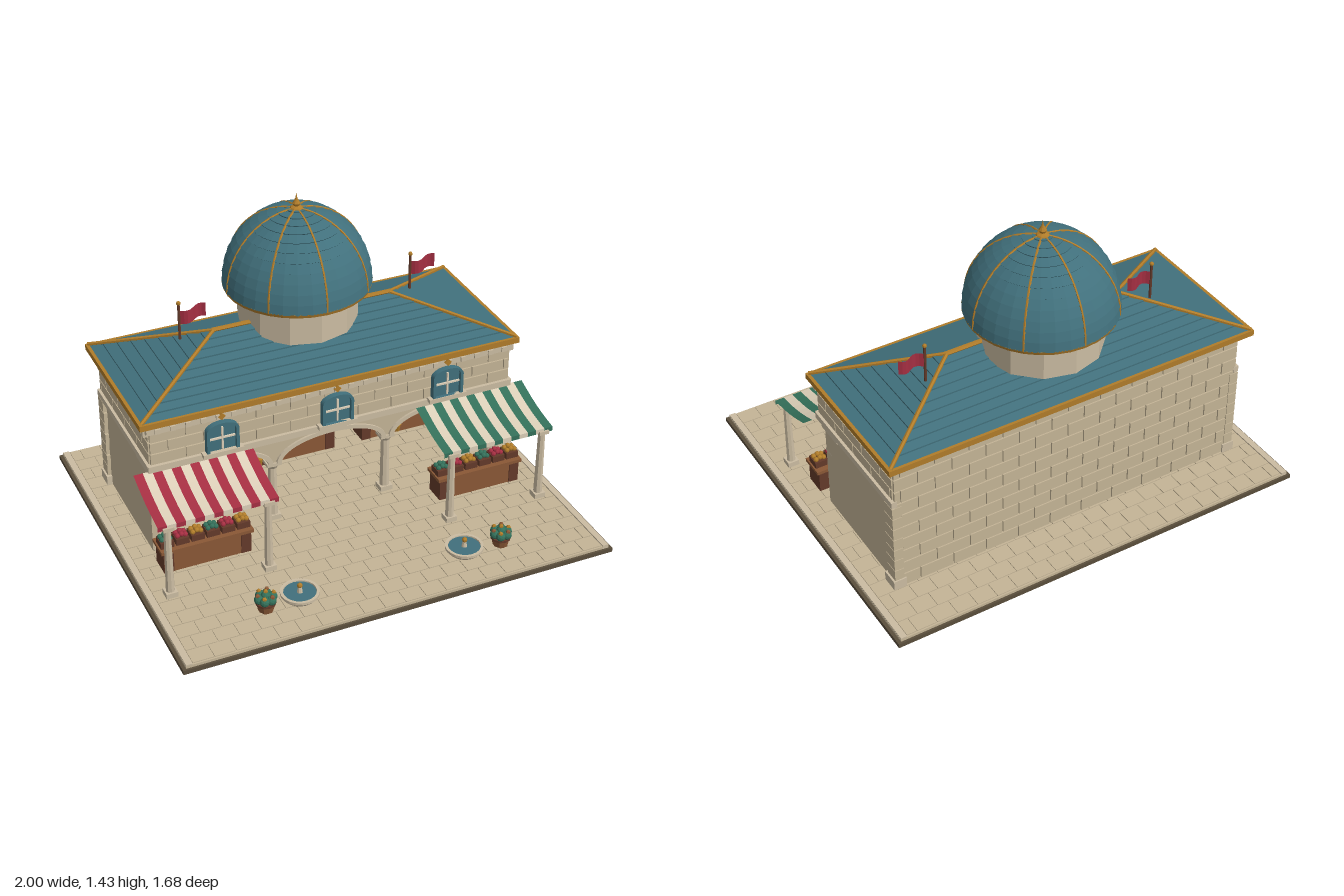
import * as THREE from 'three';
import { mergeGeometries } from 'three/addons/utils/BufferGeometryUtils.js';

const mat = (name, color) => Object.assign(new THREE.MeshStandardMaterial({ color, flatShading: true }), { name });

export function createModel() {
  const stone = mat('sandstone', 0xc4b496), trim = mat('pale stone', 0xcbbca2), earth = mat('dark footing', 0x5a4e3c);
  const teal = mat('teal tile', 0x41707c), gold = mat('gilding', 0xb07c2a), red = mat('red cloth', 0xa52f42);
  const cream = mat('cream cloth', 0xdccfb8), green = mat('green', 0x34705a), wood = mat('wood', 0x8a5836), dark = mat('dark wood', 0x643a2a);
  red.side = cream.side = green.side = THREE.DoubleSide;

  const model = new THREE.Group();
  const group = (name, parent = model, x = 0, y = 0, z = 0) => {
    const g = new THREE.Group();
    g.name = name;
    g.position.set(x, y, z);
    parent.add(g);
    return g;
  };
  const add = (parent, name, geo, m, x = 0, y = 0, z = 0) => {
    const mesh = new THREE.Mesh(geo, m);
    mesh.name = name;
    mesh.position.set(x, y, z);
    parent.add(mesh);
    return mesh;
  };
  // Box given by its x, y and z ranges
  const box = (parent, name, m, x0, x1, y0, y1, z0, z1) =>
    add(parent, name, new THREE.BoxGeometry(x1 - x0, y1 - y0, z1 - z0), m, (x0 + x1) / 2, (y0 + y1) / 2, (z0 + z1) / 2);
  const cyl = (parent, name, m, rt, rb, y0, y1, x, z, n = 8) =>
    add(parent, name, new THREE.CylinderGeometry(rt, rb, y1 - y0, n), m, x, (y0 + y1) / 2, z);
  const bar = (parent, name, m, a, b, r) =>
    add(parent, name, new THREE.TubeGeometry(new THREE.LineCurve3(new THREE.Vector3(...a), new THREE.Vector3(...b)), 1, r, 6), m);
  // Running-bond blocks in the xy plane, centred on x, rising from y = 0
  const blocks = (w, h, rows, len, depth, gap = 0.006) => {
    const out = [], rh = h / rows;
    for (let r = 0; r < rows; r++) {
      for (let x = -w / 2 - (r % 2 ? len / 2 : 0); x < w / 2 - 0.01; x += len) {
        const a = Math.max(x, -w / 2), b = Math.min(x + len, w / 2);
        if (b - a < 0.02) continue;
        out.push(new THREE.BoxGeometry(b - a - gap, rh - gap, depth).translate((a + b) / 2, (r + 0.5) * rh, 0));
      }
    }
    return mergeGeometries(out);
  };

  // Plaza
  const plaza = group('plaza');
  box(plaza, 'footing', earth, -1, 1, 0, 0.02, -0.84, 0.84);
  box(plaza, 'pavement', stone, -0.985, 0.985, 0.02, 0.032, -0.83, 0.83);
  add(plaza, 'pavingSlabs', blocks(1.91, 1.65, 20, 0.0955, 0.006, 0.005).rotateX(-Math.PI / 2), stone, 0, 0.033, 0.825);
  for (const s of [-1, 1]) box(plaza, 'kerb', trim, s * 0.97 - 0.014, s * 0.97 + 0.014, 0.02, 0.038, -0.83, 0.83);

  // Walls
  const hall = group('hall');
  box(hall, 'backWall', stone, -0.85, 0.85, 0.035, 0.5, -0.56, -0.53);
  box(hall, 'upperFloor', stone, -0.85, 0.85, 0.485, 0.71, -0.56, 0.1);
  add(hall, 'backBlocks', blocks(1.71, 0.655, 10, 0.16, 0.012), stone, 0, 0.035, -0.562);
  add(hall, 'frontBlocks', blocks(1.71, 0.165, 3, 0.16, 0.012), stone, 0, 0.515, 0.102);
  box(hall, 'frontStringCourse', trim, -0.865, 0.865, 0.482, 0.512, 0.08, 0.115);
  box(hall, 'frontCornice', trim, -0.865, 0.865, 0.672, 0.702, 0.08, 0.117);
  box(hall, 'backCornice', trim, -0.865, 0.865, 0.672, 0.702, -0.578, -0.55);
  for (const s of [-1, 1]) {
    box(hall, 'sideWall', stone, s * 0.835 - 0.015, s * 0.835 + 0.015, 0.035, 0.49, -0.55, 0.06);
    const side = add(hall, 'sideBlocks', blocks(0.66, 0.165, 3, 0.16, 0.012), stone, s * 0.852, 0.515, -0.23);
    side.rotation.y = Math.PI / 2;
    box(hall, 'sideStringCourse', trim, s * 0.855 - 0.013, s * 0.855 + 0.013, 0.482, 0.512, -0.57, 0.11);
    box(hall, 'sideCornice', trim, s * 0.855 - 0.013, s * 0.855 + 0.013, 0.672, 0.702, -0.575, 0.115);
    box(hall, 'impostBand', trim, s * 0.852 - 0.008, s * 0.852 + 0.008, 0.455, 0.482, -0.07, 0.07);
    box(hall, 'cornerBase', trim, s * 0.845 - 0.03, s * 0.845 + 0.03, 0.035, 0.08, -0.575, -0.495);
    for (let i = 0; i < 7; i++) {
      const e = i % 2 ? 0.006 : 0;
      box(hall, 'cornerBlock', stone, s * 0.845 - 0.022, s * 0.845 + 0.022, 0.082 + i * 0.057, 0.135 + i * 0.057, -0.571, -0.505 + e);
    }
    for (const z of [0.085, -0.08, -0.22, -0.36, -0.5]) box(hall, 'bracket', trim, s * 0.865 - 0.012, s * 0.865 + 0.012, 0.655, 0.69, z - 0.012, z + 0.012);
  }
  for (let x = -0.82; x < 0.83; x += 0.0682) box(hall, 'dentil', trim, x - 0.012, x + 0.012, 0.675, 0.698, 0.11, 0.125);

  // Arcade: spandrels, arch mouldings and columns
  const arcade = group('arcade');
  const centres = [-0.545, 0, 0.545];
  const spandrel = new THREE.Shape().moveTo(-0.85, 0.49).lineTo(-0.85, 0.335);
  for (const c of centres) {
    spandrel.lineTo(c - 0.245, 0.335);
    spandrel.absellipse(c, 0.335, 0.245, 0.1, Math.PI, 0, true);
  }
  spandrel.lineTo(0.85, 0.335).lineTo(0.85, 0.49);
  add(arcade, 'archWall', new THREE.ExtrudeGeometry(spandrel, { depth: 0.05, bevelEnabled: false }), stone, 0, 0, 0.01);
  for (const c of centres) {
    const ring = new THREE.Shape().absellipse(0, 0, 0.265, 0.118, 0, Math.PI, false);
    ring.lineTo(-0.243, 0).absellipse(0, 0, 0.243, 0.098, Math.PI, 0, true);
    add(arcade, 'archMoulding', new THREE.ExtrudeGeometry(ring, { depth: 0.065, bevelEnabled: false }), trim, c, 0.335, 0.005);
  }
  for (const x of [-0.815, -0.275, 0.275, 0.815]) {
    box(arcade, 'columnBase', trim, x - 0.03, x + 0.03, 0.035, 0.06, 0.01, 0.065);
    cyl(arcade, 'column', trim, 0.02, 0.023, 0.06, 0.31, x, 0.038);
    cyl(arcade, 'capital', trim, 0.032, 0.02, 0.305, 0.325, x, 0.038);
    box(arcade, 'abacus', trim, x - 0.035, x + 0.035, 0.325, 0.34, 0.008, 0.067);
  }
  for (const x of [-0.335, 0.335]) {
    cyl(arcade, 'lanternChain', gold, 0.003, 0.003, 0.37, 0.42, x, 0.035, 5);
    cyl(arcade, 'lantern', gold, 0.017, 0.011, 0.33, 0.365, x, 0.035, 6);
    cyl(arcade, 'lanternCap', gold, 0.004, 0.02, 0.365, 0.378, x, 0.035, 6);
  }

  // Arched upper windows
  for (const x of [-0.535, 0, 0.535]) {
    const w = group('window', model, x, 0.522, 0.108);
    const pane = (r, h) => new THREE.Shape().moveTo(-r, 0).lineTo(r, 0).lineTo(r, h).absellipse(0, h, r, 0.04, 0, Math.PI, false);
    const frame = pane(0.074, 0.1);
    frame.holes.push(pane(0.06, 0.097));
    add(w, 'frame', new THREE.ExtrudeGeometry(frame, { depth: 0.028, bevelEnabled: false }), teal);
    add(w, 'glass', new THREE.ExtrudeGeometry(pane(0.062, 0.098), { depth: 0.012, bevelEnabled: false }), teal);
    box(w, 'mullion', cream, -0.004, 0.004, 0.005, 0.115, 0.012, 0.02);
    box(w, 'transom', cream, -0.058, 0.058, 0.058, 0.066, 0.012, 0.02);
    box(w, 'sill', trim, -0.092, 0.092, -0.018, 0, -0.005, 0.032);
    add(w, 'diamond', new THREE.BoxGeometry(0.024, 0.024, 0.01), gold, 0, 0.167, 0.014).rotation.z = Math.PI / 4;
  }

  // Hipped roof with stepped tile courses
  const roof = group('roof', model, 0, 0, -0.25);
  box(roof, 'eaves', gold, -0.895, 0.895, 0.7, 0.727, -0.368, 0.368);
  const corner = (t, y) => {
    const hx = 0.88 - 0.46 * t, hz = 0.355 * (1 - t);
    return [[-hx, y, hz], [hx, y, hz], [hx, y, -hz], [-hx, y, -hz]];
  };
  const rings = [], courses = 9, pos = [];
  for (let k = 0; k < courses; k++) {
    const y = (i) => 0.72 + 0.16 * i / courses;
    rings.push(corner(k / courses, y(k)), corner(k / courses, y(k) + 0.007), corner((k + 1) / courses, y(k + 1)));
  }
  for (let k = 0; k + 1 < rings.length; k++) {
    for (let i = 0; i < 4; i++) {
      const a = rings[k], b = rings[k + 1], j = (i + 1) % 4;
      pos.push(...a[i], ...a[j], ...b[j], ...a[i], ...b[j], ...b[i]);
    }
  }
  const tiles = new THREE.BufferGeometry();
  tiles.setAttribute('position', new THREE.Float32BufferAttribute(pos, 3));
  tiles.computeVertexNormals();
  add(roof, 'roofTiles', tiles, teal);
  bar(roof, 'ridge', gold, [-0.43, 0.883, 0], [0.43, 0.883, 0], 0.011);
  for (const sx of [-1, 1]) for (const sz of [-1, 1]) bar(roof, 'hip', gold, [sx * 0.885, 0.73, sz * 0.358], [sx * 0.42, 0.883, 0], 0.009);

  // Drum and dome
  const dome = group('dome', model, 0, 0, -0.31);
  cyl(dome, 'drum', trim, 0.27, 0.27, 0.83, 1.005, 0, 0, 12);
  cyl(dome, 'domeRim', gold, 0.333, 0.328, 0.998, 1.014, 0, 0, 32);
  const arc = (a, e = 0) => new THREE.Vector2(Math.max(0, (0.328 + e) * Math.cos(a)), 1.012 + (0.345 + e) * Math.sin(a));
  const profile = [];
  for (let k = 0; k < 12; k++) profile.push(arc(k * Math.PI / 24, 0.005), arc((k + 1) * Math.PI / 24));
  add(dome, 'domeTiles', new THREE.LatheGeometry(profile, 32), teal);
  for (let k = 0; k < 8; k++) {
    const pts = [];
    for (let i = 0; i <= 10; i++) {
      const p = arc(i * Math.PI / 20 * 0.98, 0.002);
      pts.push(new THREE.Vector3(0, p.y, p.x));
    }
    add(dome, 'rib', new THREE.TubeGeometry(new THREE.CatmullRomCurve3(pts), 20, 0.005, 5), gold).rotation.y = k * Math.PI / 4;
  }
  const finial = [[0.035, 1.352], [0.026, 1.364], [0.012, 1.37], [0.018, 1.382], [0.01, 1.395], [0.005, 1.405], [0, 1.43]];
  add(dome, 'finial', new THREE.LatheGeometry(finial.map((p) => new THREE.Vector2(...p)), 8), gold);

  // Flags
  for (const x of [-0.555, 0.555]) {
    const f = group('flag', model, x, 0, -0.31);
    cyl(f, 'pole', dark, 0.006, 0.006, 0.8, 1.01, 0, 0, 6);
    add(f, 'poleKnob', new THREE.SphereGeometry(0.01, 8, 6), gold, 0, 1.015, 0);
    const cloth = new THREE.PlaneGeometry(0.12, 0.065, 8, 1), p = cloth.attributes.position;
    for (let i = 0; i < p.count; i++) {
      const u = p.getX(i) + 0.06;
      p.setZ(i, 0.016 * Math.sin(u * 50));
      p.setY(i, p.getY(i) + u * 0.1);
    }
    add(f, 'flagCloth', cloth, red, 0.065, 0.944, 0);
  }

  // Market stall: panelled counter with rounded heaps of produce
  const stall = (x, z) => {
    const g = group('stall', model, x, 0.035, z);
    box(g, 'counter', wood, -0.2, 0.2, 0, 0.105, -0.045, 0.045);
    box(g, 'counterTop', wood, -0.212, 0.212, 0.105, 0.12, -0.058, 0.058);
    for (const px of [-0.178, 0.178]) box(g, 'endPanel', dark, px - 0.023, px + 0.023, 0.003, 0.1, -0.05, 0.05);
    for (let i = 0; i < 6; i++) {
      const cx = -0.175 + i * 0.07;
      box(g, 'crate', dark, cx - 0.03, cx + 0.03, 0.12, 0.15, -0.03, 0.034);
      for (let j = 0; j < 6; j++) {
        add(g, 'produce', new THREE.IcosahedronGeometry(0.012, 1), [green, red, gold][i % 3], cx - 0.018 + (j % 3) * 0.018, 0.156 + (j % 3 === 1 ? 0.006 : 0), j < 3 ? -0.012 : 0.014);
      }
    }
  };
  for (const c of centres) stall(c, -0.4);

  for (const s of [-1, 1]) {
    // Striped awnings on posts, each sheltering a stall
    const awning = group('awning', model, s * 0.66, 0, 0);
    const n = 13, w = 0.54 / n;
    for (let i = 0; i < n; i++) {
      const cloth = new THREE.PlaneGeometry(w, 1, 1, 7), p = cloth.attributes.position;
      for (let k = 0; k < p.count; k++) {
        const t = Math.min(1, (0.5 - p.getY(k)) * 7 / 6), hem = p.getY(k) < -0.45;
        p.setXYZ(k, p.getX(k), 0.483 - 0.078 * t - 0.012 * Math.sin(t * Math.PI) - (hem ? 0.022 : 0), 0.1 + 0.29 * t);
      }
      cloth.computeVertexNormals();
      add(awning, 'stripe', cloth, i % 2 ? cream : s < 0 ? red : green, -0.27 + w * (i + 0.5));
    }
    for (const x of [-0.225, 0.225]) {
      box(awning, 'postBase', trim, x - 0.026, x + 0.026, 0.035, 0.06, 0.35, 0.402);
      cyl(awning, 'post', trim, 0.016, 0.02, 0.06, 0.38, x, 0.376);
      box(awning, 'postCap', trim, x - 0.024, x + 0.024, 0.378, 0.395, 0.352, 0.4);
    }
    box(awning, 'frontRail', wood, -0.26, 0.26, 0.39, 0.4, 0.37, 0.382);
    stall(s * 0.66, 0.185);

    // Fountain
    const fountain = group('fountain', model, s * 0.39, 0.03, 0.605);
    const bowl = [[0.07, 0], [0.075, 0.01], [0.085, 0.02], [0.085, 0.032], [0.072, 0.032], [0.07, 0.02]];
    add(fountain, 'basin', new THREE.LatheGeometry(bowl.map((p) => new THREE.Vector2(...p)), 20), trim);
    cyl(fountain, 'water', teal, 0.073, 0.073, 0.015, 0.026, 0, 0, 20);
    cyl(fountain, 'pedestal', trim, 0.008, 0.014, 0.02, 0.055, 0, 0);
    add(fountain, 'spout', new THREE.SphereGeometry(0.012, 8, 6), gold, 0, 0.06, 0);

    // Planter
    const planter = group('planter', model, s * 0.555, 0.03, 0.63);
    cyl(planter, 'pot', wood, 0.042, 0.032, 0, 0.045, 0, 0, 10);
    cyl(planter, 'potRim', dark, 0.045, 0.045, 0.04, 0.05, 0, 0, 10);
    for (let i = 0; i < 7; i++) {
      const a = i * Math.PI / 3, r = i < 6 ? 0.03 : 0;
      add(planter, 'leaves', new THREE.IcosahedronGeometry(0.022, 1), green, r * Math.cos(a), i < 6 ? 0.066 : 0.078, r * Math.sin(a));
      add(planter, 'blossom', new THREE.IcosahedronGeometry(0.011, 0), i % 2 ? wood : gold, r * 1.2 * Math.cos(a), i < 6 ? 0.085 : 0.1, r * 1.2 * Math.sin(a));
    }
  }
  return model;
}
